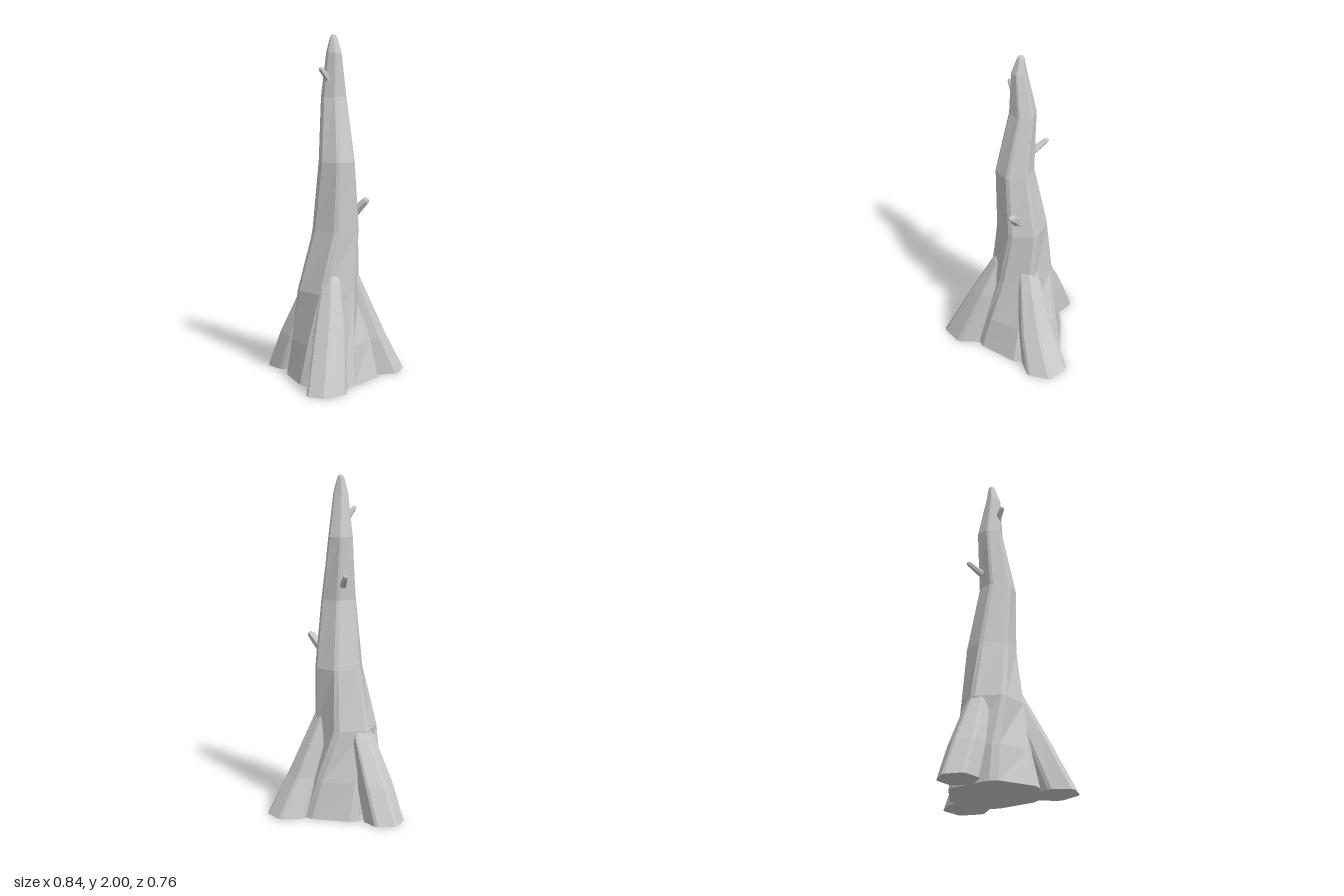
import * as THREE from 'three';

const material = new THREE.MeshStandardMaterial({ color: 0xcccccc, flatShading: true, side: THREE.DoubleSide });

// Hexagon with narrowly bevelled corners, fitted to x0..x1 and z0..z1, twisted by degrees.
function ring([y, x0, x1, z0, z1, twist]) {
  const corners = [];
  for (let k = 0; k < 6; k++) {
    const a = THREE.MathUtils.degToRad(twist + k * 60);
    corners.push(new THREE.Vector2(Math.sin(a), Math.cos(a)));
  }
  const pts = [];
  corners.forEach((c, k) => {
    pts.push(c.clone().lerp(corners[(k + 5) % 6], 0.1), c.clone().lerp(corners[(k + 1) % 6], 0.1));
  });
  const mx = Math.max(...pts.map((p) => Math.abs(p.x)));
  const mz = Math.max(...pts.map((p) => Math.abs(p.y)));
  return pts.map((p) => new THREE.Vector3(
    (x0 + x1) / 2 + (p.x / mx) * (x1 - x0) / 2, y,
    (z0 + z1) / 2 + (p.y / mz) * (z1 - z0) / 2));
}

// Skin a stack of equal rings and cap both ends.
function loft(name, rings) {
  const n = rings[0].length;
  const pos = [];
  const tri = (...v) => v.forEach((p) => pos.push(p.x, p.y, p.z));
  for (let i = 0; i < rings.length - 1; i++) {
    for (let k = 0; k < n; k++) {
      const j = (k + 1) % n;
      const a = rings[i][k], b = rings[i][j], c = rings[i + 1][j], d = rings[i + 1][k];
      tri(a, b, c);
      tri(a, c, d);
    }
  }
  const bottom = rings[0], top = rings[rings.length - 1];
  for (let k = 1; k < n - 1; k++) {
    tri(bottom[0], bottom[k + 1], bottom[k]);
    tri(top[0], top[k], top[k + 1]);
  }
  const geo = new THREE.BufferGeometry();
  geo.setAttribute('position', new THREE.Float32BufferAttribute(pos, 3));
  geo.computeVertexNormals();
  const mesh = new THREE.Mesh(geo, material);
  mesh.name = name;
  return mesh;
}

// Tapering root: each section is [y, x, z, half width, half depth].
function root(name, twist, sections) {
  return loft(name, sections.map(([y, x, z, w, d]) => ring([y, x - w, x + w, z - d, z + d, twist])));
}

// Short broken twig from one point to another.
function twig(name, from, to, r0, r1) {
  const a = new THREE.Vector3(...from), b = new THREE.Vector3(...to);
  const dir = b.clone().sub(a);
  const len = dir.length();
  const profile = [[0, 0], [r0, 0], [r1, len * 0.9], [r1 * 0.6, len], [0, len]];
  const mesh = new THREE.Mesh(
    new THREE.LatheGeometry(profile.map((p) => new THREE.Vector2(...p)), 6), material);
  mesh.position.copy(a);
  mesh.quaternion.setFromUnitVectors(new THREE.Vector3(0, 1, 0), dir.normalize());
  mesh.name = name;
  return mesh;
}

export function createModel() {
  const tree = new THREE.Group();
  tree.name = 'deadTree';

  // Leaning, twisting trunk with a flared foot: y, x range, z range, twist
  tree.add(loft('trunk', [
    [0, -0.275, 0.285, -0.155, 0.33, -30],
    [0.22, -0.225, 0.235, -0.145, 0.295, -24],
    [0.52, -0.17, 0.165, -0.13, 0.25, -5],
    [0.88, -0.115, 0.163, -0.055, 0.24, 8],
    [1.28, -0.11, 0.102, 0.01, 0.23, 12],
    [1.65, -0.055, 0.1, 0.005, 0.15, 18],
    [1.9, -0.035, 0.05, 0.045, 0.135, 18],
    [1.985, -0.008, 0.034, 0.062, 0.105, 18],
    [2, 0.002, 0.027, 0.07, 0.098, 18],
  ].map(ring)));

  // Three buttress roots
  tree.add(root('rightRoot', -50, [
    [0, -0.285, 0.268, 0.138, 0.112],
    [0.36, -0.165, 0.195, 0.092, 0.09],
    [0.6, -0.092, 0.145, 0.05, 0.06],
    [0.65, -0.09, 0.13, 0.025, 0.04],
  ]));
  tree.add(root('leftRoot', 50, [
    [0, 0.285, 0.24, 0.135, 0.135],
    [0.23, 0.195, 0.205, 0.105, 0.105],
    [0.6, 0.095, 0.135, 0.052, 0.065],
    [0.65, 0.085, 0.125, 0.035, 0.045],
  ]));
  tree.add(root('backRoot', 170, [
    [0, 0.015, -0.265, 0.112, 0.118],
    [0.22, 0.01, -0.185, 0.105, 0.1],
    [0.48, 0.01, -0.085, 0.075, 0.06],
    [0.53, 0.01, -0.08, 0.05, 0.04],
  ]));

  // Broken twigs
  tree.add(twig('frontTwig', [0.06, 0.965, 0.185], [0.08, 1.065, 0.28], 0.032, 0.022));
  tree.add(twig('backTwig', [0.05, 1.37, 0.03], [0.108, 1.435, -0.045], 0.022, 0.015));
  tree.add(twig('topTwig', [-0.03, 1.75, 0.08], [-0.08, 1.815, 0.058], 0.02, 0.014));

  return tree;
}
